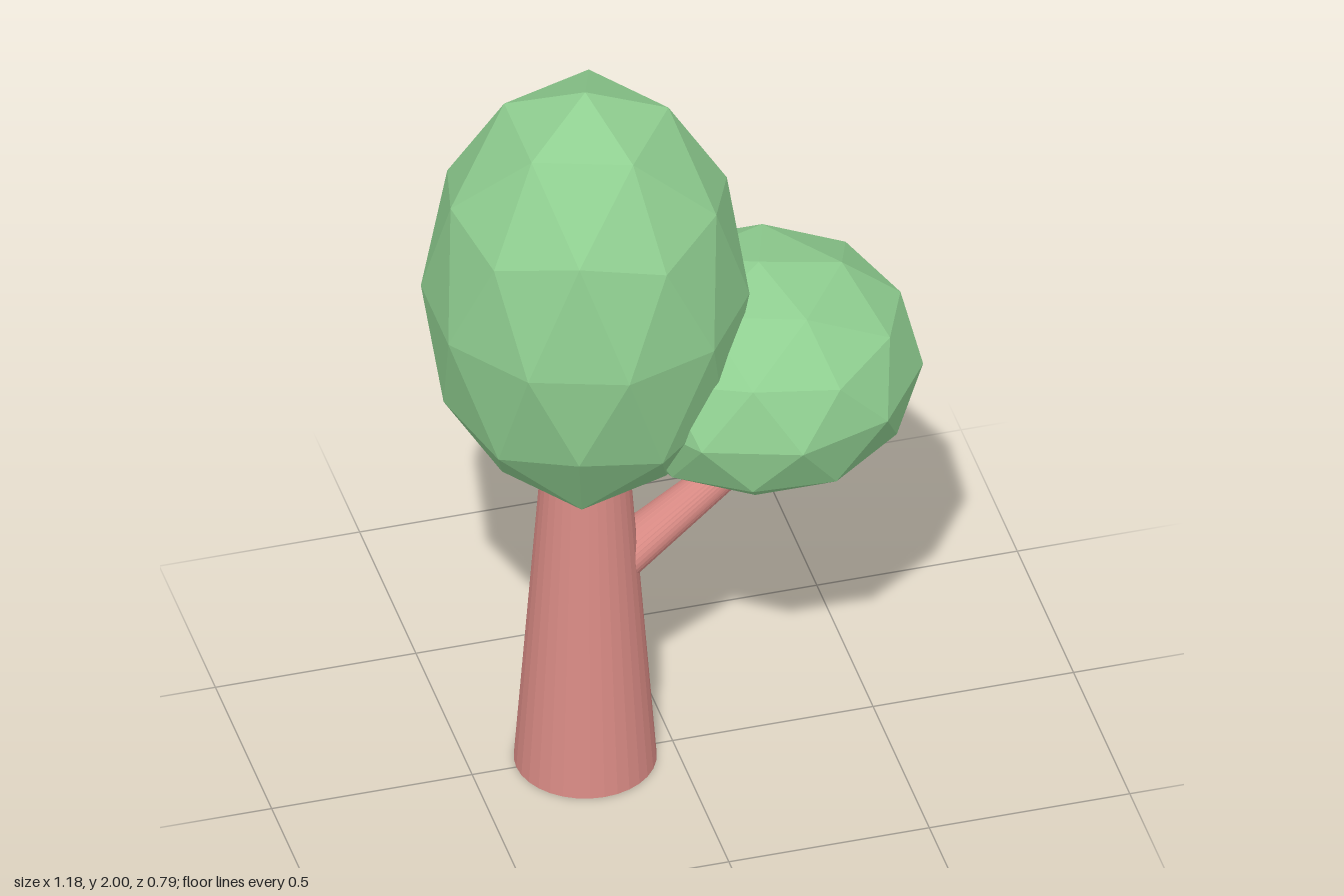
import * as THREE from 'three';

const leafMaterial = new THREE.MeshStandardMaterial({ color: 0x8fce90, flatShading: true });
const barkMaterial = new THREE.MeshStandardMaterial({ color: 0xd88a84, flatShading: true });

function addMesh(group, name, geometry, material) {
  const mesh = new THREE.Mesh(geometry, material);
  mesh.name = name;
  group.add(mesh);
  return mesh;
}

// Faceted ball with one corner pointing straight up, stretched to the given height
function foliage(radius, halfHeight) {
  const geometry = new THREE.IcosahedronGeometry(1, 1);
  geometry.rotateZ(-Math.atan(2 / (1 + Math.sqrt(5))));
  geometry.scale(radius, halfHeight, radius);
  geometry.computeVertexNormals();
  return geometry;
}

// Limb from start to end whose thickness and depth taper separately
function limb(start, end, thickness, depth) {
  const along = end.clone().sub(start);
  const length = along.length();
  const geometry = new THREE.CylinderGeometry(1, 1, length, 32);
  const p = geometry.attributes.position;
  for (let i = 0; i < p.count; i++) {
    const t = p.getY(i) / length + 0.5;
    p.setX(i, p.getX(i) * THREE.MathUtils.lerp(thickness[0], thickness[1], t));
    p.setZ(i, p.getZ(i) * THREE.MathUtils.lerp(depth[0], depth[1], t));
  }
  geometry.rotateZ(Math.atan2(along.y, along.x) - Math.PI / 2);
  const mid = start.clone().add(end).multiplyScalar(0.5);
  geometry.translate(mid.x, mid.y, mid.z);
  geometry.computeVertexNormals();
  return geometry;
}

export function createModel() {
  const tree = new THREE.Group();
  tree.name = 'tree';

  // Tapered trunk, its top buried in the crown
  const trunk = addMesh(tree, 'trunk', new THREE.CylinderGeometry(0.098, 0.172, 1, 32), barkMaterial);
  trunk.position.set(-0.218, 0.5, 0);

  // Side branch rising towards +x
  addMesh(tree, 'branch', limb(
    new THREE.Vector3(-0.2, 0.533, 0), new THREE.Vector3(0.25, 0.877, 0),
    [0.058, 0.039], [0.08, 0.028]), barkMaterial);

  // Tall main crown and the smaller crown on the branch
  addMesh(tree, 'mainCrown', foliage(0.395, 0.595), leafMaterial).position.set(-0.218, 1.405, 0);
  addMesh(tree, 'sideCrown', foliage(0.395, 0.295), leafMaterial).position.set(0.215, 1.105, 0);

  return tree;
}
